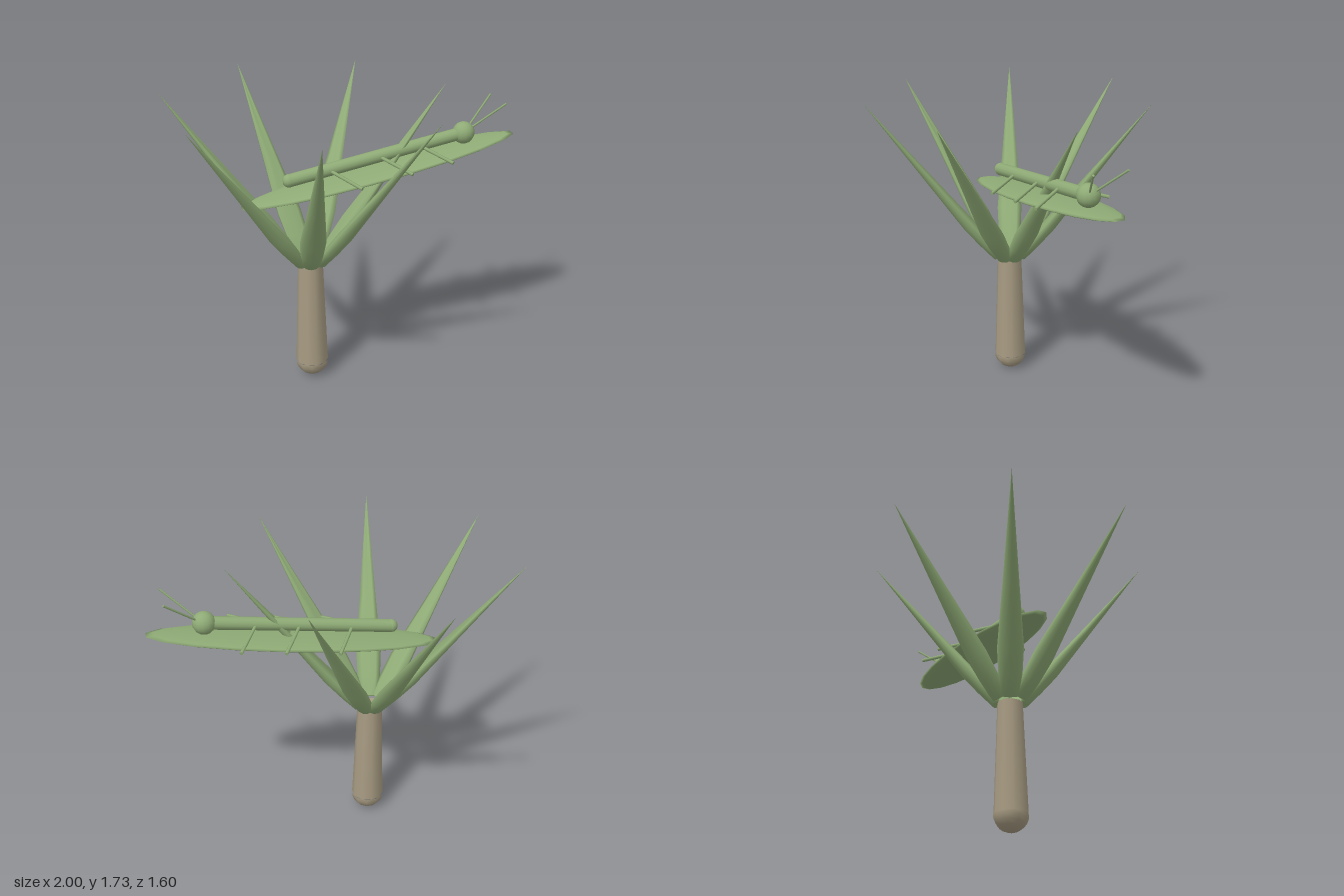
import * as THREE from 'three';

const green = new THREE.MeshStandardMaterial({ color: 0x8fab76 });
green.name = 'leafGreen';
const tan = new THREE.MeshStandardMaterial({ color: 0xa79b82 });
tan.name = 'stemTan';

function add(parent, name, geometry, material, x = 0, y = 0, z = 0) {
  const mesh = new THREE.Mesh(geometry, material);
  mesh.name = name;
  mesh.position.set(x, y, z);
  parent.add(mesh);
  return mesh;
}

// Round rod between two points
function rod(parent, name, a, b, radius, sides) {
  const from = new THREE.Vector3(...a), to = new THREE.Vector3(...b);
  const dir = to.clone().sub(from);
  const mesh = add(parent, name, new THREE.CylinderGeometry(radius, radius, dir.length(), sides), green);
  mesh.position.copy(from).add(to).multiplyScalar(0.5);
  mesh.quaternion.setFromUnitVectors(new THREE.Vector3(0, 1, 0), dir.normalize());
  return mesh;
}

// Pointed leaf along +y: rounded outside (+x), shallow groove inside (-x)
function leafGeometry(length) {
  const rings = [[0, 0.054], [0.1, 0.067], [0.22, 0.074], [0.5, 0.047], [1, 0.0005]];
  const section = [];
  for (let i = 0; i <= 6; i++) {
    const a = -Math.PI / 2 + (i * Math.PI) / 6;
    section.push([0.8 * Math.cos(a) - 0.1, Math.sin(a)]);
  }
  section.push([-0.32, 0.6], [-0.2, 0], [-0.32, -0.6]);
  const n = section.length, pos = [], index = [];
  for (const [t, r] of rings) {
    for (const [sx, sz] of section) pos.push(sx * r, t * length, sz * r);
  }
  for (let k = 0; k < rings.length - 1; k++) {
    for (let i = 0; i < n; i++) {
      const a = k * n + i, b = k * n + ((i + 1) % n);
      index.push(a, a + n, b, b, a + n, b + n);
    }
  }
  // Base cap
  const c = pos.length / 3;
  pos.push(0, 0, 0);
  for (let i = 0; i < n; i++) index.push(c, i, (i + 1) % n);
  const g = new THREE.BufferGeometry();
  g.setAttribute('position', new THREE.Float32BufferAttribute(pos, 3));
  g.setIndex(index);
  g.computeVertexNormals();
  return g;
}

export function createModel() {
  const model = new THREE.Group();
  model.name = 'plantWithInsect';

  // Stem with a rounded foot
  const plant = new THREE.Group();
  plant.name = 'plant';
  plant.position.x = -0.26;
  model.add(plant);
  add(plant, 'stem', new THREE.CylinderGeometry(0.072, 0.095, 0.65, 10), tan, 0, 0.425, 0);
  add(plant, 'stemFoot',
    new THREE.SphereGeometry(0.098, 10, 6, 0, Math.PI * 2, Math.PI / 2, Math.PI / 2), tan, 0, 0.1, 0);

  // Crown of seven leaves, one pointing to +x
  const rise = 1.73 - 0.765, reach = 0.82 - 0.07;
  const leafShape = leafGeometry(Math.hypot(rise, reach));
  for (let i = 0; i < 7; i++) {
    const arm = new THREE.Group();
    arm.name = 'leafArm';
    arm.rotation.y = (i * Math.PI * 2) / 7;
    plant.add(arm);
    add(arm, 'leaf', leafShape, green, 0.07, 0.765, 0).rotation.z = -Math.atan2(reach, rise);
  }

  // Long flat blade carrying the insect
  const bladeShape = new THREE.SphereGeometry(1, 20, 10);
  bladeShape.rotateY(Math.PI / 20);
  bladeShape.scale(0.845, 0.025, 0.167);
  add(model, 'blade', bladeShape, green, 0.175, 1.265, 0).rotation.z = 0.15;

  // Insect body and head
  const insect = new THREE.Group();
  insect.name = 'insect';
  model.add(insect);
  rod(insect, 'body', [-0.375, 1.268, 0], [0.685, 1.425, 0], 0.037, 12);
  add(insect, 'tailEnd', new THREE.SphereGeometry(0.038, 12, 8), green, -0.375, 1.268, 0);
  add(insect, 'head', new THREE.SphereGeometry(0.065, 14, 10), green, 0.685, 1.425, 0);

  // Mirrored antennae and legs
  for (const s of [-1, 1]) {
    rod(insect, 'antenna', [0.69, 1.425, 0], [0.9, 1.605, 0.1 * s], 0.006, 6);
    for (const x of [-0.14, 0.16, 0.405]) {
      const y = 1.425 + (x - 0.685) * 0.148;
      rod(insect, 'leg', [x, y, 0.02 * s], [x + 0.118, y - 0.05, 0.22 * s], 0.01, 6);
    }
  }
  return model;
}
